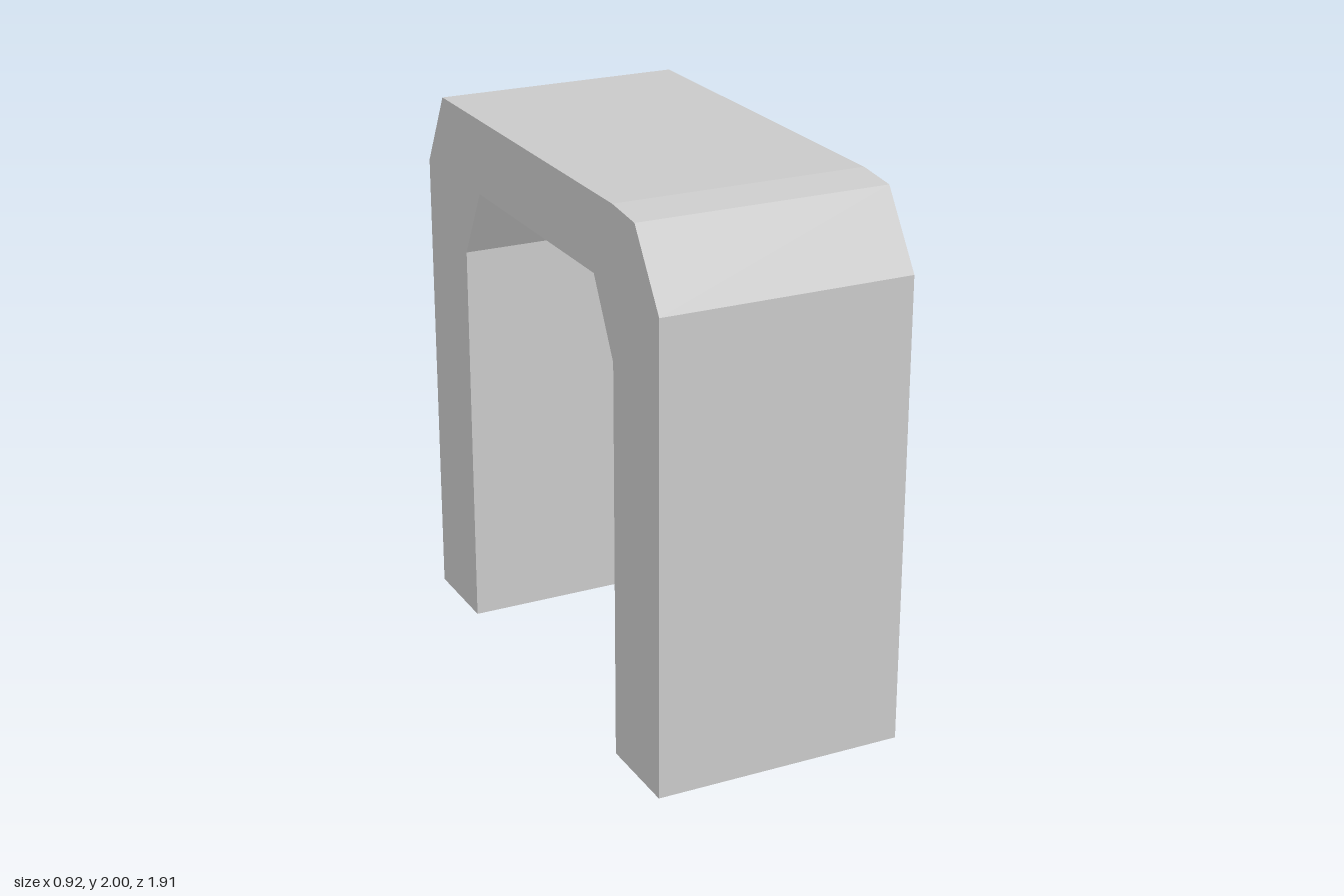
import * as THREE from 'three';

const WIDTH = 0.916;

export function createModel() {
  const group = new THREE.Group();
  const material = new THREE.MeshStandardMaterial({ color: 0xcccccc, flatShading: true });

  // Side outline as (z, y): the front leg is slightly shorter and its shoulder has two bevels
  const outline = [
    [0.957, 0.03], [0.957, 1.727], [0.785, 1.983], [0.625, 2], // front leg and shoulder
    [-0.805, 2], [-0.957, 1.727], [-0.957, 0],                 // back shoulder and leg
    [-0.615, 0], [-0.615, 1.467], [-0.473, 1.727],             // inside of the back leg
    [0.483, 1.727], [0.625, 1.467], [0.625, 0.03],             // inside of the front leg
  ].map(([z, y]) => new THREE.Vector2(z, y));

  // Extrude across the width, then turn the outline into the z-y plane
  const geometry = new THREE.ExtrudeGeometry(new THREE.Shape(outline), { depth: WIDTH, bevelEnabled: false });
  geometry.translate(0, 0, -WIDTH / 2);
  geometry.rotateY(-Math.PI / 2);

  const arch = new THREE.Mesh(geometry, material);
  arch.name = 'arch';
  group.add(arch);
  return group;
}
